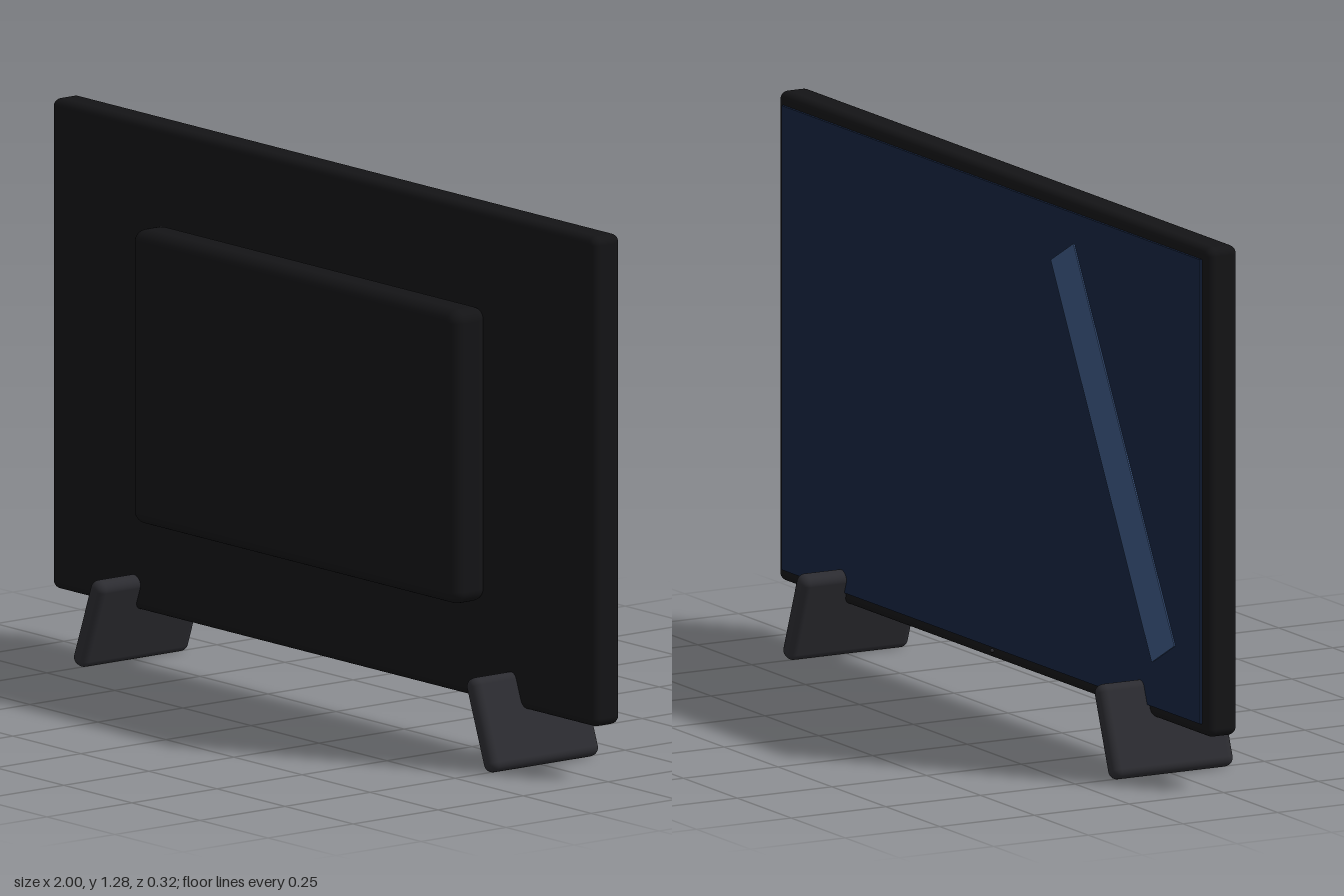
import * as THREE from 'three';
import { RoundedBoxGeometry } from 'three/addons/geometries/RoundedBoxGeometry.js';

const material = (color) => new THREE.MeshStandardMaterial({ color });

export function createModel() {
  const group = new THREE.Group();
  const black = material(0x141416);
  const charcoal = material(0x2c2c31);

  function add(name, geometry, mat, x, y, z, tilt = 0) {
    const mesh = new THREE.Mesh(geometry, mat);
    mesh.name = name;
    mesh.position.set(x, y, z);
    mesh.rotation.z = tilt;
    group.add(mesh);
    return mesh;
  }

  // Slim cabinet and the raised housing behind it
  add('cabinet', new RoundedBoxGeometry(2, 1.15, 0.08, 4, 0.02), black, 0, 0.706, 0);
  add('rearHousing', new RoundedBoxGeometry(1.195, 0.69, 0.1, 4, 0.03), black, 0, 0.707, 0.079);

  // Screen on the -z side, with a slanted reflection and a status light
  add('screen', new THREE.BoxGeometry(1.94, 1.09, 0.012), material(0x16243f), 0, 0.706, -0.04);
  add('screenReflection', new THREE.BoxGeometry(0.12, 0.977, 0.006), material(0x3b5580), -0.57, 0.723, -0.046, -0.5);
  add('statusLight', new THREE.SphereGeometry(0.005, 12, 8), charcoal, 0, 0.152, -0.042);

  // Splayed feet
  for (const side of [-1, 1]) {
    add(side > 0 ? 'leftFoot' : 'rightFoot',
      new RoundedBoxGeometry(0.045, 0.222, 0.32, 4, 0.02),
      charcoal, side * 0.722, 0.107, 0, side * 0.35);
  }
  return group;
}
